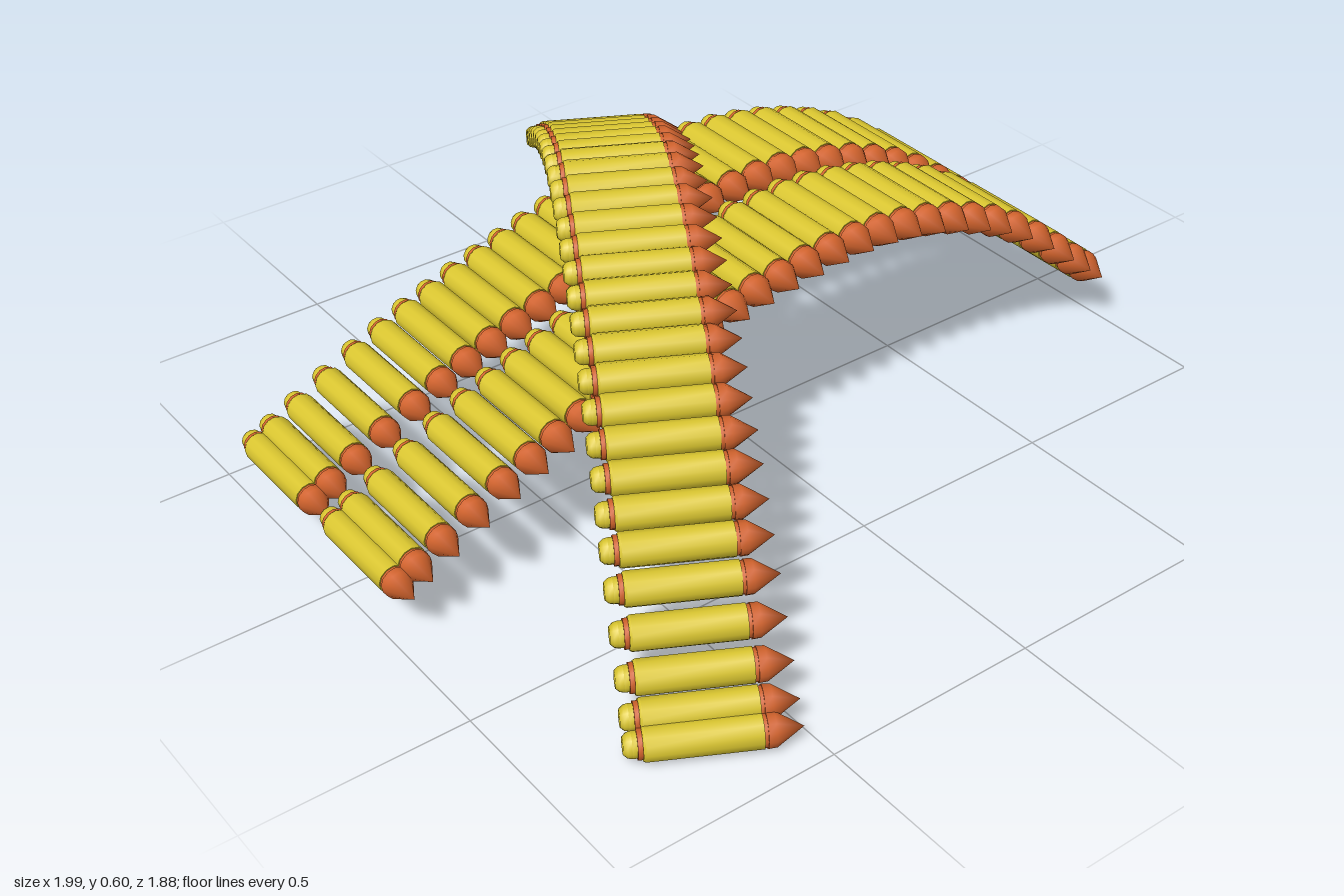
import * as THREE from 'three';
import { toCreasedNormals } from 'three/addons/utils/BufferGeometryUtils.js';

const COUNT = 30;
const brass = new THREE.MeshStandardMaterial({ color: 0xd9c52f });
const copper = new THREE.MeshStandardMaterial({ color: 0xd0622c });

// Turned part along z, from [radius, z] pairs; radius 1 is the case radius
function turned(profile) {
  const points = profile.map(([r, z]) => new THREE.Vector2(r, z));
  const geometry = new THREE.LatheGeometry(points, 12);
  geometry.rotateX(Math.PI / 2);
  return toCreasedNormals(geometry, 0.6);
}

const parts = [
  ['rimKnob', brass, turned([[0, -0.175], [0.48, -0.175], [0.68, -0.167], [0.74, -0.158], [0.74, -0.147], [0, -0.147]])],
  ['rearRing', copper, turned([[0, -0.148], [0.85, -0.148], [0.85, -0.137], [0, -0.137]])],
  ['case', brass, turned([[0, -0.138], [0.92, -0.138], [1, -0.133], [1, 0.094], [0, 0.094]])],
  ['frontRing', copper, turned([[0, 0.093], [0.93, 0.093], [0.93, 0.102], [0, 0.102]])],
  ['bullet', copper, turned([[0, 0.101], [1, 0.101], [0.97, 0.118], [0, 0.175]])],
];

// One cartridge, tip towards +z
function cartridge(radius) {
  const group = new THREE.Group();
  group.name = 'cartridge';
  for (const [name, material, geometry] of parts) {
    const mesh = new THREE.Mesh(geometry, material);
    mesh.name = name;
    group.add(mesh);
  }
  group.scale.set(radius, radius, 1);
  return group;
}

// Cartridges side by side along a curved path in the local xy plane
function belt(name, path, startRadius, endRadius) {
  const group = new THREE.Group();
  group.name = name;
  const curve = new THREE.SplineCurve(path.map(([x, y]) => new THREE.Vector2(x, y)));
  for (let i = 0; i < COUNT; i++) {
    const t = i / (COUNT - 1);
    const p = curve.getPoint(t);
    const tangent = curve.getTangent(t);
    const round = cartridge(THREE.MathUtils.lerp(startRadius, endRadius, t));
    round.position.set(p.x, p.y, 0);
    round.rotation.z = Math.atan2(tangent.y, tangent.x);
    group.add(round);
  }
  return group;
}

export function createModel() {
  const model = new THREE.Group();
  model.name = 'ammunitionBelts';

  // Two parallel belts lying across the model
  const lowPath = [[-0.965, 0.12], [-0.647, 0.277], [-0.335, 0.388], [-0.022, 0.47],
    [0.313, 0.486], [0.65, 0.38], [0.957, 0.145]];
  for (const [name, z] of [['rearBelt', -0.268], ['frontBelt', 0.076]]) {
    const low = belt(name, lowPath, 0.033, 0.039);
    low.position.z = z;
    model.add(low);
  }

  // Third belt crossing over them diagonally
  const heights = [0.037, 0.235, 0.41, 0.525, 0.562, 0.472, 0.31];
  const highPath = heights.map((y, i) => [-0.96 + 0.32 * i, y]);
  const high = belt('crossingBelt', highPath, 0.037, 0.037);
  high.position.set(-0.218, 0, 0.007);
  high.rotation.y = 1.075;
  model.add(high);

  return model;
}
